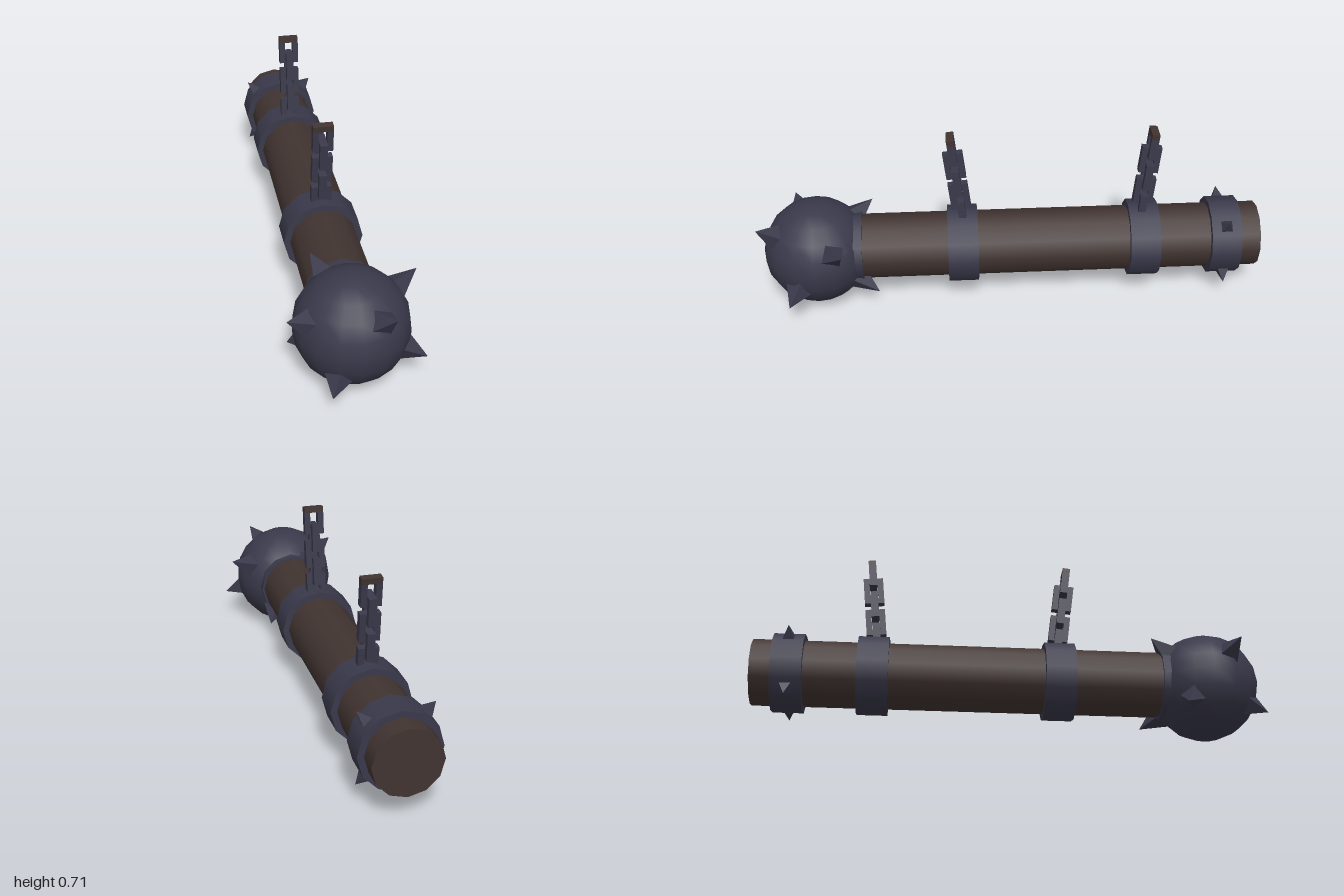
import * as THREE from 'three';

export function createModel() {
  const model = new THREE.Group();
  model.name = 'spikedBatteringRam';

  const iron = new THREE.MeshStandardMaterial({ color: 0x3a394b });
  iron.name = 'darkIron';
  const wood = new THREE.MeshStandardMaterial({ color: 0x413431 });
  wood.name = 'darkWood';

  const CX = -0.007, AXIS_Y = 0.22;
  const UP = new THREE.Vector3(0, 1, 0);

  function add(name, geometry, material, parent = model) {
    const mesh = new THREE.Mesh(geometry, material);
    mesh.name = name;
    parent.add(mesh);
    return mesh;
  }

  // Cylinder lying along z between two depths
  function rod(name, radius, z0, z1, material) {
    const g = new THREE.CylinderGeometry(radius, radius, z1 - z0, 12);
    g.rotateX(Math.PI / 2);
    add(name, g, material).position.set(CX, AXIS_Y, (z0 + z1) / 2);
  }

  // Four-sided spike pointing from a centre to a tip, sunk into the surface
  function spike(name, centre, tip, baseDistance, radius) {
    const dir = tip.clone().sub(centre);
    const length = dir.length() - baseDistance;
    dir.normalize();
    const g = new THREE.ConeGeometry(radius, length, 4, 1, false, Math.PI / 4).toNonIndexed();
    g.computeVertexNormals();
    const mesh = add(name, g, iron);
    mesh.quaternion.setFromUnitVectors(UP, dir);
    mesh.position.copy(centre).addScaledVector(dir, baseDistance + length / 2);
  }

  // Wooden beam, straps and collar behind the head
  rod('beam', 0.13, -1, 0.66, wood);
  rod('frontStrap', 0.155, 0.13, 0.25, iron);
  rod('middleStrap', 0.155, -0.595, -0.475, iron);
  rod('rearStrap', 0.155, -0.92, -0.8, iron);
  rod('headCollar', 0.14, 0.59, 0.66, iron);

  // Iron ball head with eight spikes
  const head = new THREE.Vector3(CX, 0.214, 0.775);
  add('ballHead', new THREE.SphereGeometry(0.212, 16, 10), iron).position.copy(head);
  [
    [-0.253, 0.33, 0.875], [0.1, 0.378, 0.995],
    [0.247, 0.11, 0.875], [-0.115, 0.075, 0.995],
    [0.252, 0.338, 0.66], [-0.115, 0.375, 0.55],
    [0.11, 0.075, 0.53], [-0.22, 0.07, 0.66],
  ].forEach((tip) => spike('headSpike', head, new THREE.Vector3(...tip), 0.185, 0.06));

  // Small studs on the rear strap
  const rear = new THREE.Vector3(CX, AXIS_Y, -0.86);
  for (let i = 0; i < 4; i++) {
    const a = Math.PI / 4 + (i * Math.PI) / 2;
    const tip = rear.clone().add(new THREE.Vector3(Math.cos(a) * 0.2, Math.sin(a) * 0.2, 0));
    spike('strapSpike', rear, tip, 0.14, 0.036);
  }

  // Rectangular chain link made of four bars, with its own top bar material
  function link(topMaterial) {
    const W = 0.078, H = 0.112, T = 0.023, D = 0.03;
    const group = new THREE.Group();
    group.name = 'chainLink';
    for (const s of [-1, 1]) {
      add('linkSide', new THREE.BoxGeometry(T, H - 2 * T, D), iron, group).position.x = s * (W - T) / 2;
      add('linkEnd', new THREE.BoxGeometry(W, T, D), s > 0 ? topMaterial : iron, group)
        .position.y = s * (H - T) / 2;
    }
    return group;
  }

  // Chains rising from the straps, alternate links turned a quarter
  function chain(name, z, tilt) {
    const group = new THREE.Group();
    group.name = name;
    for (let i = 0; i < 5; i++) {
      const l = link(i === 4 ? wood : iron);
      l.position.y = 0.005 + i * 0.07;
      l.rotation.y = i % 2 ? Math.PI / 2 : 0;
      group.add(l);
    }
    group.position.set(CX, 0.374, z);
    group.rotation.x = tilt;
    model.add(group);
  }
  chain('frontChain', 0.19, 0.12);
  chain('rearChain', -0.528, -0.1);

  return model;
}
